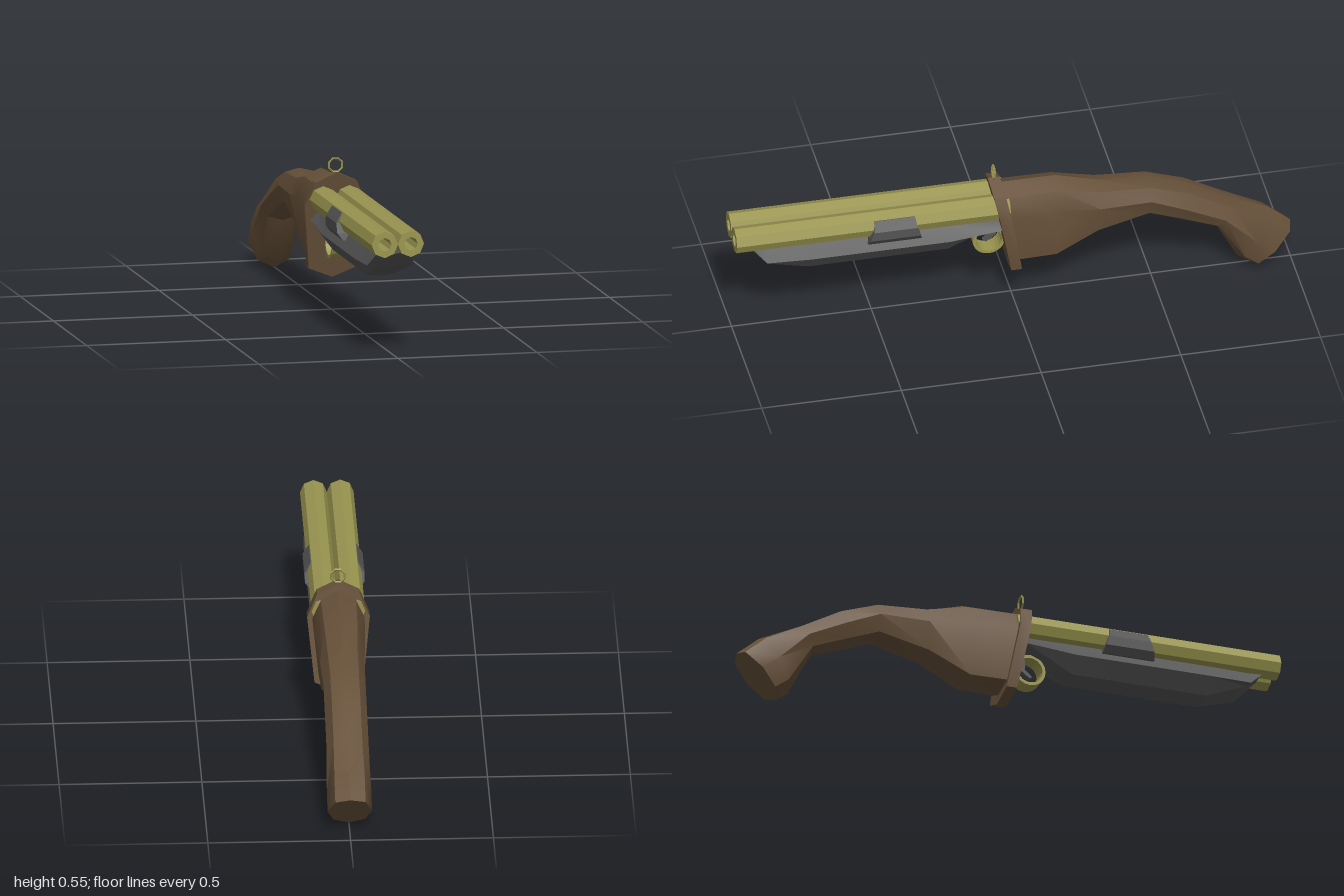
import * as THREE from 'three';
import { toCreasedNormals } from 'three/addons/utils/BufferGeometryUtils.js';

const material = (color) => new THREE.MeshStandardMaterial({ color, flatShading: true });
const smooth = (color) => new THREE.MeshStandardMaterial({ color });

const GOLD = 0x9a9550, WOOD = 0x665039, STEEL = 0x555555;

// Closed loft through mirrored rings; each half ring runs top to bottom, rings run front to back
function loft(halves) {
  const rings = halves.map((h) => [
    ...h.map(([x, y, z]) => [-x, y, z]),
    ...h.slice(1, -1).reverse(),
  ]);
  const n = rings[0].length, pos = [], index = [];
  rings.forEach((r) => r.forEach((p) => pos.push(...p)));
  for (let i = 0; i < rings.length - 1; i++) {
    for (let j = 0; j < n; j++) {
      const k = (j + 1) % n;
      const a = i * n + j, b = i * n + k, c = a + n, d = b + n;
      index.push(a, c, b, b, c, d);
    }
  }
  const cap = (ring, base, flip) => {
    const mid = [0, 1, 2].map((q) => ring.reduce((s, p) => s + p[q], 0) / n);
    const m = pos.length / 3;
    pos.push(...mid);
    for (let j = 0; j < n; j++) {
      const k = (j + 1) % n;
      index.push(m, base + (flip ? k : j), base + (flip ? j : k));
    }
  };
  cap(rings[0], 0, false);
  cap(rings.at(-1), (rings.length - 1) * n, true);
  const g = new THREE.BufferGeometry();
  g.setAttribute('position', new THREE.Float32BufferAttribute(pos, 3));
  g.setIndex(index);
  return toCreasedNormals(g, 0.6);
}

// Half ring of a tilted section; g blends from tall body (0) to rounder grip (1)
function section([topZ, topY, lowZ, lowY, w, g]) {
  const mix = THREE.MathUtils.lerp;
  const xs = [0, 0.68, 1, mix(0.78, 0.72, g), 0];
  const ts = [0, 0.09, mix(0.3, 0.48, g), mix(0.91, 0.85, g), 1];
  return xs.map((x, i) => [x * w, mix(topY, lowY, ts[i]), mix(topZ, lowZ, ts[i])]);
}

// Extrudes a (z, y) outline across x, centred
function acrossX(shape, width) {
  const g = new THREE.ExtrudeGeometry(shape, { depth: width, bevelEnabled: false, curveSegments: 10 });
  return g.rotateY(-Math.PI / 2).translate(width / 2, 0, 0);
}

export function createModel() {
  const model = new THREE.Group();
  const add = (name, geometry, mat) => {
    const mesh = new THREE.Mesh(geometry, mat);
    mesh.name = name;
    model.add(mesh);
    return mesh;
  };
  const gold = material(GOLD), steel = material(STEEL);

  // Twin octagonal barrels with recessed bores
  const profile = [[0, 0], [0.047, 0], [0.047, 0.98], [0.024, 0.98], [0.024, 0.8], [0, 0.8]]
    .map(([r, h]) => new THREE.Vector2(r, h));
  for (const side of [-1, 1]) {
    const barrel = new THREE.LatheGeometry(profile, 8).rotateX(Math.PI / 2);
    add(side > 0 ? 'leftBarrel' : 'rightBarrel', barrel.translate(side * 0.047, 0.405, 0.02), gold);
  }

  // Curved stock and grip with a flared butt
  add('stock', loft([
    [0.05, 0.476, -0.015, 0.155, 0.092, 0],
    [-0.157, 0.476, -0.15, 0.155, 0.086, 0],
    [-0.31, 0.433, -0.3, 0.235, 0.078, 0.4],
    [-0.49, 0.417, -0.485, 0.283, 0.074, 0.7],
    [-0.63, 0.37, -0.6, 0.235, 0.074, 1],
    [-0.78, 0.285, -0.725, 0.19, 0.074, 1],
    [-0.917, 0.225, -0.81, 0.03, 0.078, 1],
    [-1.0, 0.155, -0.853, 0.0, 0.078, 1],
  ].map(section)), smooth(WOOD));

  // Slanted collar between barrels and stock
  add('collar', loft([
    [0.083, 0.5, 0.01, 0.117, 0.11, 0],
    [0.04, 0.5, -0.028, 0.117, 0.11, 0],
  ].map(section)), smooth(WOOD));

  // Fore-end under the barrels: bottom rises toward both ends
  const foreEnd = [[0.94, 0.36, 0.06], [0.89, 0.31, 0.085], [0.735, 0.247, 0.092], [0.235, 0.247, 0.092], [0.05, 0.325, 0.088]]
    .map(([z, low, w]) => [
      [0, 0.38, z],
      [w * 0.68, 0.362, z],
      [w, Math.max(0.312, low + 0.004), z],
      [w * 0.55, low + 0.007, z],
      [0, low, z],
    ]);
  add('foreEnd', loft(foreEnd), smooth(STEEL));

  // Side clamps, wider at the foot than at the top
  for (const side of [-1, 1]) {
    const clamp = [[0.435, 0.084, 0.072], [0.4, 0.105, 0.078], [0.365, 0.104, 0.09], [0.34, 0.085, 0.096]];
    const pos = [], index = [];
    for (const z of [1, -1]) {
      for (const [y, x, half] of clamp) pos.push(side * x, y, 0.433 + z * half, side * 0.05, y, 0.433 + z * half);
    }
    const quad = (a, b, c, d) => (side > 0 ? index.push(a, b, c, a, c, d) : index.push(a, c, b, a, d, c));
    for (let i = 0; i < 6; i += 2) {
      quad(i, i + 2, i + 10, i + 8);
      quad(i, i + 1, i + 3, i + 2);
      quad(i + 8, i + 10, i + 11, i + 9);
    }
    quad(0, 8, 9, 1);
    quad(6, 7, 15, 14);
    const g = new THREE.BufferGeometry();
    g.setAttribute('position', new THREE.Float32BufferAttribute(pos, 3));
    g.setIndex(index);
    g.computeVertexNormals();
    add(side > 0 ? 'leftClamp' : 'rightClamp', g, steel);
  }

  // Sight ring on the collar
  add('sightRing', new THREE.TorusGeometry(0.0255, 0.004, 4, 8).rotateZ(Math.PI / 8).translate(0, 0.523, 0.062), gold);

  // Trigger guard band
  const band = new THREE.Shape().absarc(0.085, 0.255, 0.058, 0, Math.PI * 2);
  band.holes.push(new THREE.Path().absarc(0.085, 0.255, 0.047, 0, Math.PI * 2, true));
  add('triggerGuard', acrossX(band, 0.062), gold);

  // Hooked trigger
  const trigger = new THREE.Shape([[0.05, 0.31], [0.075, 0.31], [0.073, 0.265], [0.102, 0.238], [0.09, 0.234], [0.056, 0.26]]
    .map(([z, y]) => new THREE.Vector2(z, y)));
  add('trigger', acrossX(trigger, 0.02), steel);

  return model;
}
